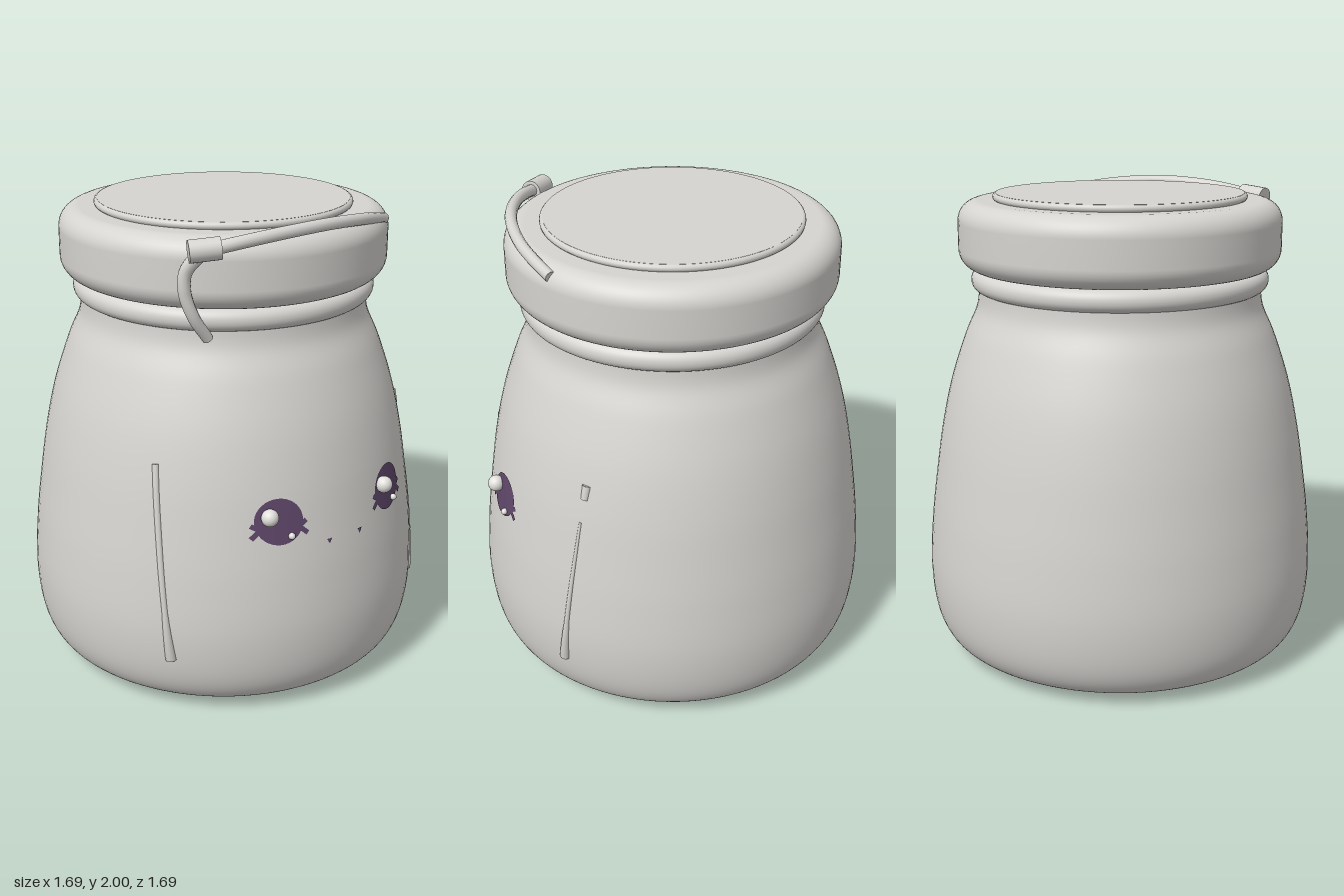
import * as THREE from 'three';

const V2 = (x, y) => new THREE.Vector2(x, y);
const V3 = (x, y, z) => new THREE.Vector3(x, y, z);

// Side profile of the jar, bottom to top
const wall = new THREE.SplineCurve([
  V2(0.62, 0.015), V2(0.72, 0.035), V2(0.79, 0.09), V2(0.832, 0.2), V2(0.847, 0.38),
  V2(0.832, 0.6), V2(0.806, 0.8), V2(0.774, 1.0), V2(0.728, 1.2), V2(0.664, 1.39),
  V2(0.612, 1.51), V2(0.6, 1.6),
]).getPoints(70);

function radiusAt(y) {
  for (let i = 1; i < wall.length; i++) {
    const a = wall[i - 1], b = wall[i];
    if (b.y >= y) return a.x + (b.x - a.x) * (y - a.y) / (b.y - a.y);
  }
  return 0.6;
}

// Rounded solid band: outer radius r, from y0 to y1, corner radius c
function band(r, y0, y1, c, inner) {
  const pts = [V2(0, y0), V2(inner, y0)];
  const n = 10;
  for (let i = 0; i <= n; i++) {
    const a = -Math.PI / 2 + i / n * Math.PI / 2;
    pts.push(V2(r - c + Math.cos(a) * c, y0 + c + Math.sin(a) * c));
  }
  for (let i = 0; i <= n; i++) {
    const a = i / n * Math.PI / 2;
    pts.push(V2(r - c + Math.cos(a) * c, y1 - c + Math.sin(a) * c));
  }
  pts.push(V2(inner, y1), V2(0, y1));
  return new THREE.LatheGeometry(pts, 96);
}

// Bend a flat front-facing geometry onto the jar wall
function wrap(geo, lift = 0.004) {
  const p = geo.attributes.position;
  for (let i = 0; i < p.count; i++) {
    const r = radiusAt(p.getY(i)) + lift;
    p.setZ(i, Math.sqrt(r * r - p.getX(i) ** 2));
  }
  geo.computeVertexNormals();
  return geo;
}

export function createModel() {
  const model = new THREE.Group();
  const mat = (name, color) => new THREE.MeshStandardMaterial({ name, color });
  const shell = mat('pale grey', 0xd6d4d0);
  const eyePurple = mat('eye purple', 0x5e4669);
  const shine = mat('eye shine', 0xe2e0dc);

  const add = (name, geo, material, parent = model) => {
    const mesh = new THREE.Mesh(geo, material);
    mesh.name = name;
    parent.add(mesh);
    return mesh;
  };

  // Tube along points, thinning from r0 to r1, with closed ends
  const taperedTube = (name, points, r0, r1, segs = 40) => {
    const g = new THREE.Group();
    g.name = name;
    const curve = new THREE.CatmullRomCurve3(points);
    const sides = 12;
    const geo = new THREE.TubeGeometry(curve, segs, 1, sides);
    const p = geo.attributes.position, v = new THREE.Vector3();
    for (let i = 0; i < p.count; i++) {
      const t = Math.floor(i / (sides + 1)) / segs;
      const c = curve.getPointAt(t);
      v.fromBufferAttribute(p, i).sub(c).multiplyScalar(r0 + (r1 - r0) * t).add(c);
      p.setXYZ(i, v.x, v.y, v.z);
    }
    add(name + 'Wire', geo, shell, g);
    for (const t of [0, 1]) {
      const cap = add(name + 'End', new THREE.CircleGeometry(t ? r1 : r0, sides), shell, g);
      cap.position.copy(curve.getPointAt(t));
      const dir = curve.getTangentAt(t).multiplyScalar(t ? 1 : -1);
      cap.quaternion.setFromUnitVectors(V3(0, 0, 1), dir);
    }
    model.add(g);
  };

  // Jar body, neck ring and lid
  add('body', new THREE.LatheGeometry([V2(0, 0), V2(0.3, 0.002), V2(0.5, 0.006), ...wall], 96), shell);
  add('neckRing', band(0.632, 1.58, 1.672, 0.044, 0.5), shell);
  add('lid', band(0.682, 1.672, 1.957, 0.085, 0.5), shell);
  const disc = add('lidDisc', new THREE.CylinderGeometry(0.522, 0.522, 0.045, 96), shell);
  disc.position.y = 1.9625;
  const rim = add('lidDiscRim', new THREE.TorusGeometry(0.519, 0.016, 12, 96), shell);
  rim.rotation.x = Math.PI / 2;
  rim.position.y = 1.969;

  // Wire clasp over the lid, its hanging tail, and the knot joining them
  taperedTube('claspWire', [
    V3(-0.48, 1.925, 0.54), V3(-0.36, 1.948, 0.592), V3(-0.2, 1.967, 0.632), V3(0, 1.975, 0.645),
    V3(0.2, 1.962, 0.612), V3(0.33, 1.942, 0.56), V3(0.435, 1.917, 0.5),
  ], 0.026, 0.023);
  taperedTube('claspTail', [
    V3(-0.48, 1.925, 0.53), V3(-0.525, 1.84, 0.475), V3(-0.528, 1.76, 0.47),
    V3(-0.495, 1.66, 0.48), V3(-0.43, 1.565, 0.48),
  ], 0.028, 0.022);
  const knot = add('claspKnot', new THREE.CylinderGeometry(0.043, 0.043, 0.12, 20), shell);
  knot.position.set(-0.485, 1.927, 0.537);
  knot.quaternion.setFromUnitVectors(V3(0, 1, 0), V3(0.88, 0.08, 0.46).normalize());

  // Thin raised ridges on each side of the jar
  const ridge = (name, side, y0, y1, r0, r1, sink) => {
    const pts = [];
    for (let i = 0; i <= 6; i++) {
      const y = y0 + (y1 - y0) * i / 6;
      const a = side * THREE.MathUtils.degToRad(51.2 + (y - 0.27) * 7.2);
      const r = radiusAt(y) - sink;
      pts.push(V3(Math.sin(a) * r, y, Math.cos(a) * r));
    }
    taperedTube(name, pts, r0, r1, 24);
  };
  ridge('leftRidgeBase', 1, 0.27, 0.48, 0.023, 0.012, 0.004);
  ridge('leftRidge', 1, 0.46, 0.95, 0.012, 0.006, 0.002);
  ridge('leftRidgeTip', 1, 1.05, 1.11, 0.017, 0.02, 0.008);
  ridge('rightRidgeBase', -1, 0.27, 0.48, 0.023, 0.013, 0.004);
  ridge('rightRidge', -1, 0.46, 1.08, 0.013, 0.014, 0.004);

  // Face: eyes with lashes, shines, and mouth corners
  for (const s of [1, -1]) {
    const label = s > 0 ? 'left' : 'right';
    const cx = s * 0.285;
    const eye = new THREE.RingGeometry(0, 0.094, 36, 5).translate(cx, 0.861, 0);
    add(label + 'Eye', wrap(eye), eyePurple);

    for (const k of [1, -1]) {
      for (const [dx, y, tilt] of [[0.088, 0.842, 0.6], [0.093, 0.816, -0.75]]) {
        const lash = new THREE.PlaneGeometry(0.045, 0.02, 3, 1);
        lash.rotateZ(k * tilt).translate(cx + k * dx, y, 0);
        add(label + 'EyeLash', wrap(lash), eyePurple);
      }
    }

    const corner = new THREE.CircleGeometry(0.014, 3, -Math.PI / 2);
    corner.translate(s * 0.08, 0.748, 0);
    add(label + 'MouthCorner', wrap(corner), eyePurple);

    for (const [x, y, r] of [[cx - 0.045, 0.89, 0.035], [cx + 0.04, 0.8, 0.014]]) {
      const ball = add(label + 'EyeShine', new THREE.SphereGeometry(r, 24, 16), shine);
      const rad = radiusAt(y) + 0.035;
      ball.position.set(x, y, Math.sqrt(rad * rad - x * x) - 0.015 - (r < 0.02 ? 0.012 : 0));
    }
  }
  return model;
}
